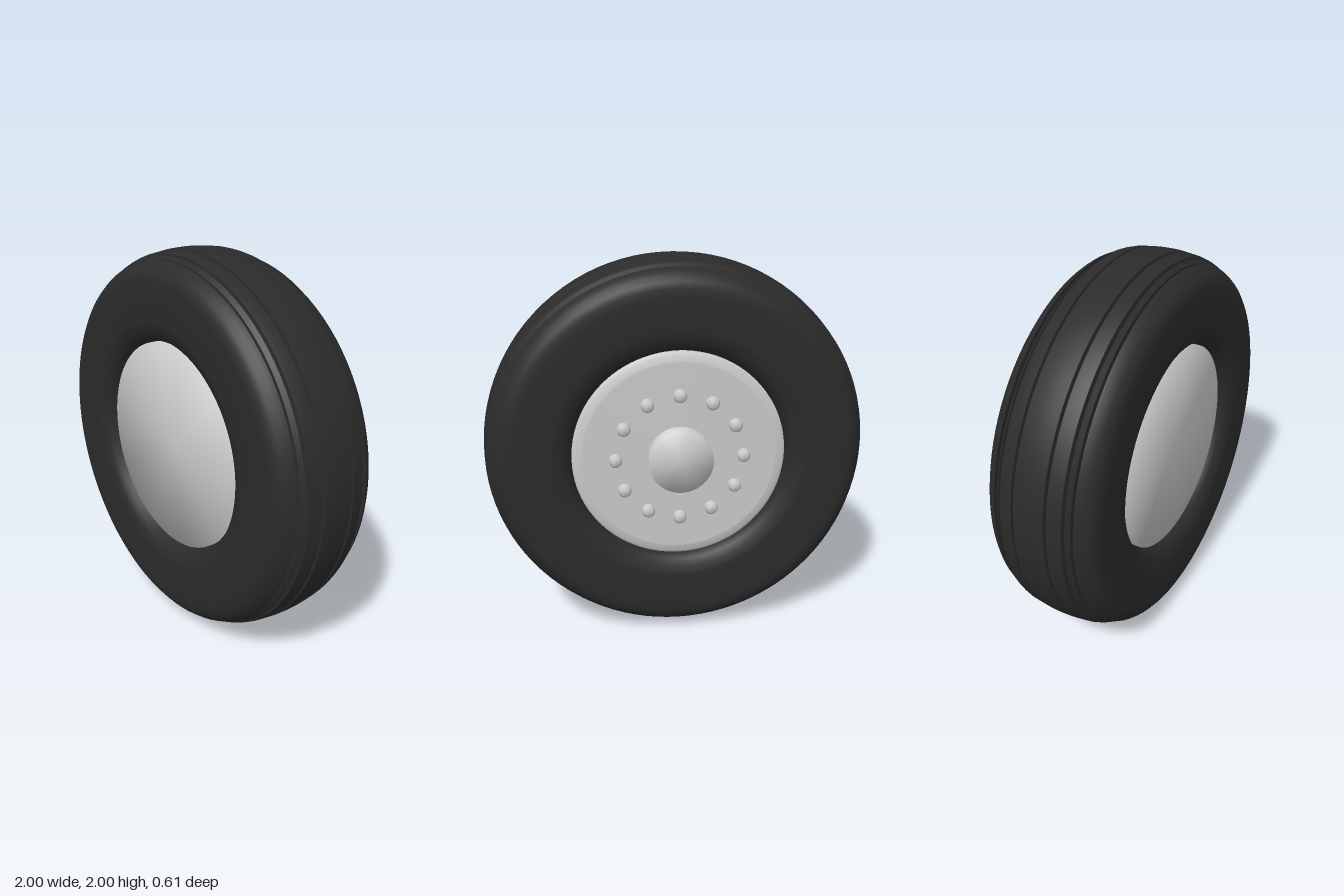
import * as THREE from 'three';

const rubber = new THREE.MeshStandardMaterial({ color: 0x2b2b2b, side: THREE.DoubleSide });
const metal = new THREE.MeshStandardMaterial({ color: 0xcccccc, side: THREE.DoubleSide });

const CENTRE_Z = 0.0125; // middle of the tyre width

// Revolves [radius, z, sharp?] points around the z axis, listed back to front
// along the outside. Sharp points are doubled so the normals split there.
function revolve(name, profile, material, segments = 96) {
  const points = [];
  for (const [r, z, sharp] of profile) {
    points.push(new THREE.Vector2(r, z));
    if (sharp) points.push(new THREE.Vector2(r, z));
  }
  const geometry = new THREE.LatheGeometry(points, segments);
  geometry.rotateX(Math.PI / 2);
  const mesh = new THREE.Mesh(geometry, material);
  mesh.name = name;
  return mesh;
}

const mirrorProfile = (profile) => profile.map(([r, z, s]) => [r, -z, s]).reverse();

export function createModel() {
  const wheel = new THREE.Group();
  wheel.name = 'wheel';
  wheel.position.y = 1;

  // Tyre: a grooved tread band and two sidewalls, parted by narrow open slots
  const tyre = new THREE.Group();
  tyre.name = 'tyre';
  tyre.position.z = CENTRE_Z;
  wheel.add(tyre);

  const treadHalf = [
    [0.999, 0.04], [0.995, 0.079, 1],
    [0.967, 0.083, 1], [0.967, 0.091, 1], // inner groove
    [0.993, 0.095, 1], [0.988, 0.135], [0.98, 0.163, 1],
    [0.95, 0.167, 1], [0.95, 0.174, 1], // outer groove
    [0.974, 0.178, 1], [0.957, 0.198, 1], [0.56, 0.198],
  ];
  tyre.add(revolve('tread', [...mirrorProfile(treadHalf), [1, 0], ...treadHalf], rubber));

  const sidewall = [
    [0.56, 0.212], [0.957, 0.212, 1],
    [0.945, 0.237], [0.925, 0.262], [0.9, 0.281], [0.87, 0.291],
    [0.83, 0.2925], [0.74, 0.2925], [0.65, 0.286, 1],
    [0.61, 0.277], [0.575, 0.255], [0.556, 0.225], [0.55, 0.2],
  ];
  tyre.add(revolve('frontSidewall', sidewall, rubber));
  tyre.add(revolve('backSidewall', mirrorProfile(sidewall), rubber));

  // Rim: bolt face and lip at the back, barrel, softly shaded front disc
  wheel.add(revolve('rim', [
    [0, -0.228], [0.5, -0.228, 1], [0.535, -0.222], [0.55, -0.21, 1],
    [0.55, 0.24], [0, 0.24],
  ], metal));

  // Hub on the back face
  wheel.add(revolve('hub', [[0, -0.305], [0.165, -0.305], [0.165, -0.14]], metal, 48));

  // Ring of twelve wheel nuts
  const nuts = new THREE.Group();
  nuts.name = 'wheelNuts';
  for (let i = 0; i < 12; i++) {
    const angle = (i * Math.PI) / 6;
    const nut = revolve('wheelNut', [[0, -0.264], [0.022, -0.262], [0.034, -0.25], [0.034, -0.22]], metal, 20);
    nut.position.set(0.33 * Math.cos(angle), 0.33 * Math.sin(angle), 0);
    nuts.add(nut);
  }
  wheel.add(nuts);

  const model = new THREE.Group();
  model.name = 'truckWheel';
  model.add(wheel);
  return model;
}
